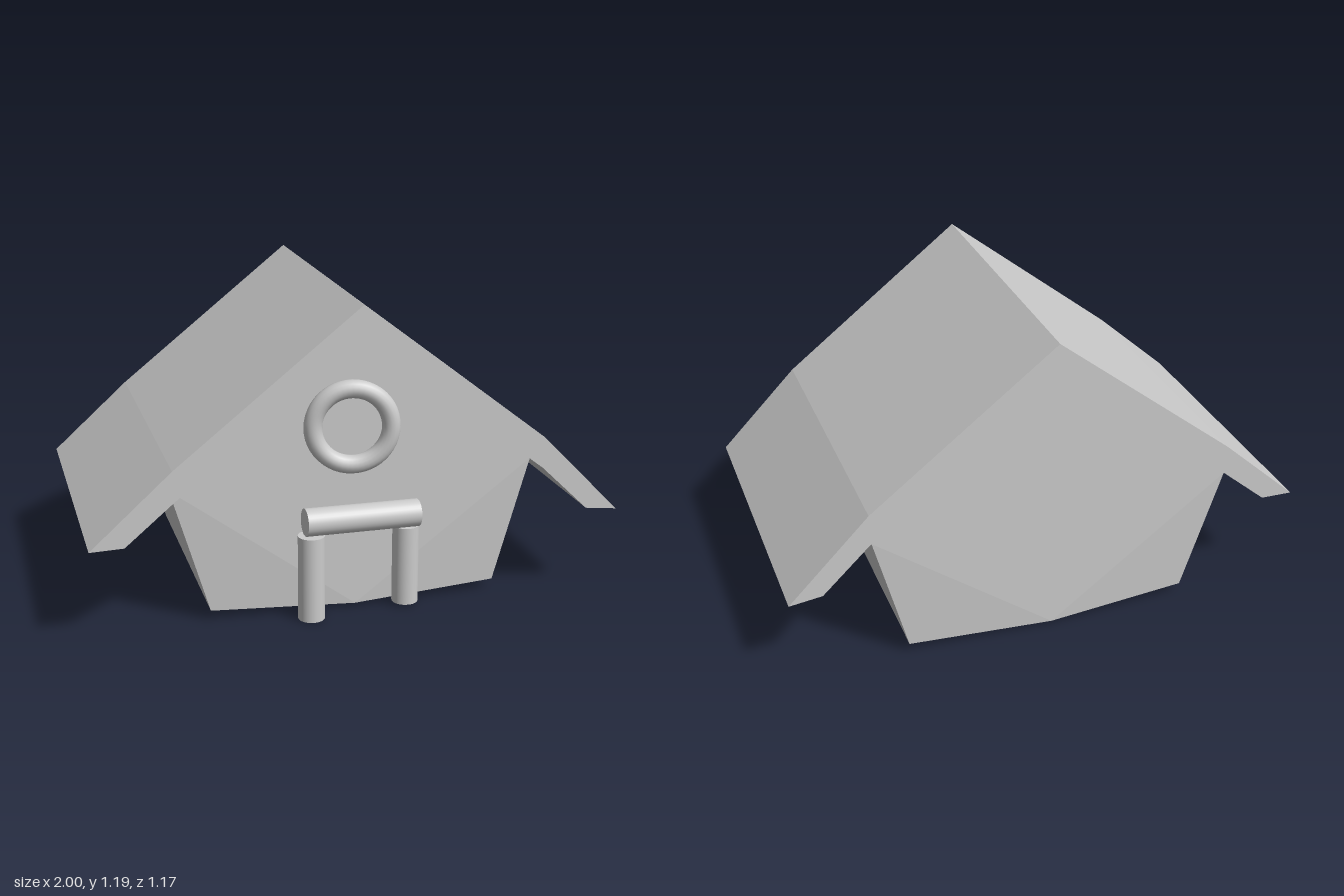
import * as THREE from 'three';

const material = new THREE.MeshStandardMaterial({ color: 0xcccccc });

function part(name, geometry, parent) {
  const mesh = new THREE.Mesh(geometry, material);
  mesh.name = name;
  parent.add(mesh);
  return mesh;
}

// Six-sided house body; the gable ends lean in slightly at the bottom corners.
function bodyGeometry() {
  // x, y, inset; counter-clockwise from the middle of the floor
  const profile = [
    [0, 0.012, 0], [0.56, 0.038, 0.02], [0.69, 0.53, 0],
    [-0.01, 1.07, 0], [-0.695, 0.53, 0], [-0.55, 0.038, 0.02],
  ];
  const front = profile.map(([x, y, d]) => new THREE.Vector3(x, y, 0.465 - d));
  const back = profile.map(([x, y, d]) => new THREE.Vector3(x, y, -0.585 + d));
  const points = [];
  // gable ends as fans around the middle of the floor
  for (let i = 1; i < 5; i++) {
    points.push(front[0], front[i], front[i + 1]);
    points.push(back[0], back[i + 1], back[i]);
  }
  // floor and side walls; the top is closed by the roof
  for (const i of [4, 5, 0, 1]) {
    const j = (i + 1) % 6;
    points.push(front[i], back[i], back[j], front[i], back[j], front[j]);
  }
  const geometry = new THREE.BufferGeometry().setFromPoints(points);
  geometry.computeVertexNormals();
  return geometry;
}

// Bent roof slab running the full depth of the house.
function roofGeometry() {
  const outline = [
    [-1, 0.375], [-0.875, 0.378], [-0.695, 0.53], [-0.01, 1.07], [0.69, 0.53],
    [0.875, 0.352], [1, 0.337], [0.695, 0.648], [-0.01, 1.193], [-0.7, 0.645],
  ];
  const shape = new THREE.Shape(outline.map(([x, y]) => new THREE.Vector2(x, y)));
  return new THREE.ExtrudeGeometry(shape, { depth: 1.17, bevelEnabled: false })
    .translate(0, 0, -0.585);
}

// Round beam between two points.
function beam(name, from, to, radius, parent) {
  const a = new THREE.Vector3(...from);
  const b = new THREE.Vector3(...to);
  const mesh = part(name, new THREE.CylinderGeometry(radius, radius, a.distanceTo(b), 32), parent);
  mesh.position.copy(a).lerp(b, 0.5);
  mesh.quaternion.setFromUnitVectors(new THREE.Vector3(0, 1, 0), b.sub(a).normalize());
}

export function createModel() {
  const house = new THREE.Group();
  house.name = 'house';
  part('body', bodyGeometry(), house);
  part('roof', roofGeometry(), house);

  // round window frame, turned slightly
  const ring = part('windowFrame', new THREE.TorusGeometry(0.142, 0.034, 16, 48), house);
  ring.position.set(-0.035, 0.735, 0.53);
  ring.rotation.y = -0.17;

  // door frame of three round beams
  const door = new THREE.Group();
  door.name = 'doorFrame';
  house.add(door);
  beam('rightPost', [-0.185, 0, 0.52], [-0.185, 0.328, 0.52], 0.05, door);
  beam('leftPost', [0.19, 0.012, 0.485], [0.19, 0.319, 0.485], 0.05, door);
  beam('lintel', [-0.208, 0.378, 0.515], [0.23, 0.369, 0.5], 0.052, door);

  return house;
}
